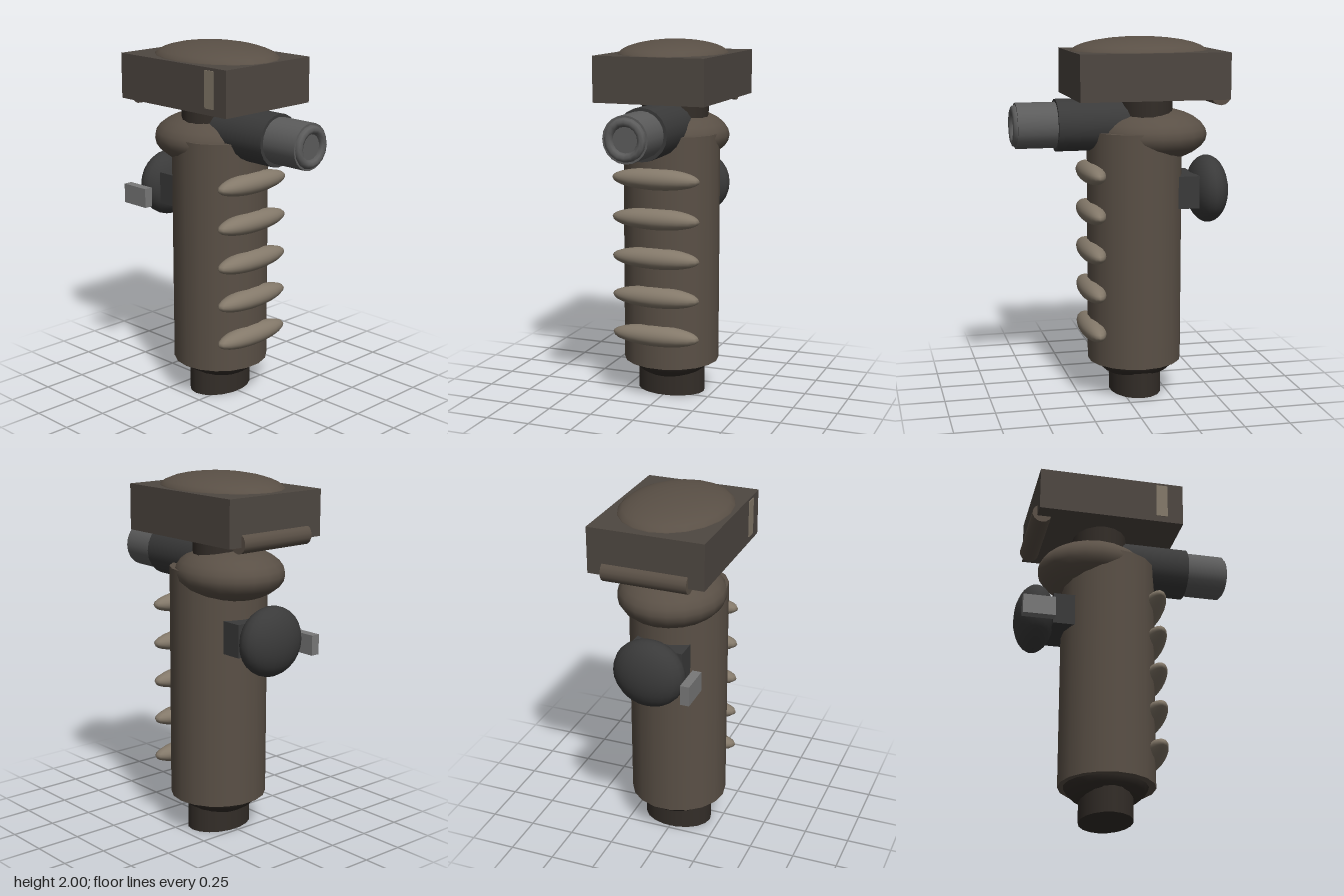
import * as THREE from 'three';

const mat = (color) => new THREE.MeshStandardMaterial({ color });
const brown = mat(0x5a5046), headBrown = mat(0x4e4741), ribBrown = mat(0x84796a);
const footBrown = mat(0x332d28), black = mat(0x3a3a3a), steel = mat(0x5c5c5c), light = mat(0x787878);

export function createModel() {
  const model = new THREE.Group();

  const add = (name, geometry, material, x, y, z = 0) => {
    const mesh = new THREE.Mesh(geometry, material);
    mesh.name = name;
    mesh.position.set(x, y, z);
    model.add(mesh);
    return mesh;
  };
  const box = (name, m, [x0, x1], [y0, y1], [z0, z1]) =>
    add(name, new THREE.BoxGeometry(x1 - x0, y1 - y0, z1 - z0), m,
      (x0 + x1) / 2, (y0 + y1) / 2, (z0 + z1) / 2);
  const ellipsoid = (name, m, x, y, rx, ry, rz) =>
    add(name, new THREE.SphereGeometry(1, 20, 14).scale(rx, ry, rz), m, x, y);
  // upright elliptical column
  const column = (name, m, x, y0, y1, rx, rz) =>
    add(name, new THREE.CylinderGeometry(1, 1, y1 - y0, 18).scale(rx, 1, rz), m, x, (y0 + y1) / 2);
  // round bar lying along x
  const barX = (name, m, x0, x1, r, y) =>
    add(name, new THREE.CylinderGeometry(r, r, x1 - x0, 20).rotateZ(-Math.PI / 2), m, (x0 + x1) / 2, y);

  // grip
  column('foot', footBrown, -0.085, 0, 0.25, 0.145, 0.195);
  ellipsoid('footCollar', footBrown, -0.085, 0.22, 0.235, 0.14, 0.235);
  column('gripBody', brown, -0.08, 0.19, 1.49, 0.263, 0.27);
  for (let i = 0; i < 5; i++) {
    ellipsoid('gripRib' + (i + 1), ribBrown, 0.167, 0.38 + i * 0.22, 0.069, 0.06, 0.255);
  }

  // shoulder and neck
  ellipsoid('shoulder', brown, -0.17, 1.465, 0.315, 0.15, 0.29);
  column('neck', footBrown, -0.135, 1.45, 1.7, 0.155, 0.19);

  // head with domed lid, front inlay and edge roller
  box('head', headBrown, [-0.533, 0.285], [1.675, 1.925], [-0.318, 0.315]);
  ellipsoid('lid', brown, -0.105, 1.91, 0.39, 0.09, 0.3);
  box('headInlay', ribBrown, [0.13, 0.195], [1.71, 1.91], [0.3, 0.32]);
  add('edgeRoller', new THREE.CylinderGeometry(0.055, 0.055, 0.465, 14).rotateX(Math.PI / 2),
    brown, -0.505, 1.692, -0.005);

  // side nozzle
  barX('nozzleSleeve', black, -0.05, 0.365, 0.144, 1.525);
  barX('nozzleTube', steel, 0.3, 0.583, 0.126, 1.527);
  add('nozzleRim', new THREE.TorusGeometry(0.092, 0.024, 8, 16).rotateY(Math.PI / 2), steel, 0.583, 1.527);

  // side knob on its bracket, with a small lever
  box('knobBracket', black, [-0.415, -0.25], [1.06, 1.24], [-0.15, 0.15]);
  ellipsoid('knob', black, -0.5, 1.145, 0.112, 0.19, 0.2);
  box('lever', light, [-0.598, -0.42], [1.05, 1.16], [0.21, 0.26]);

  return model;
}
